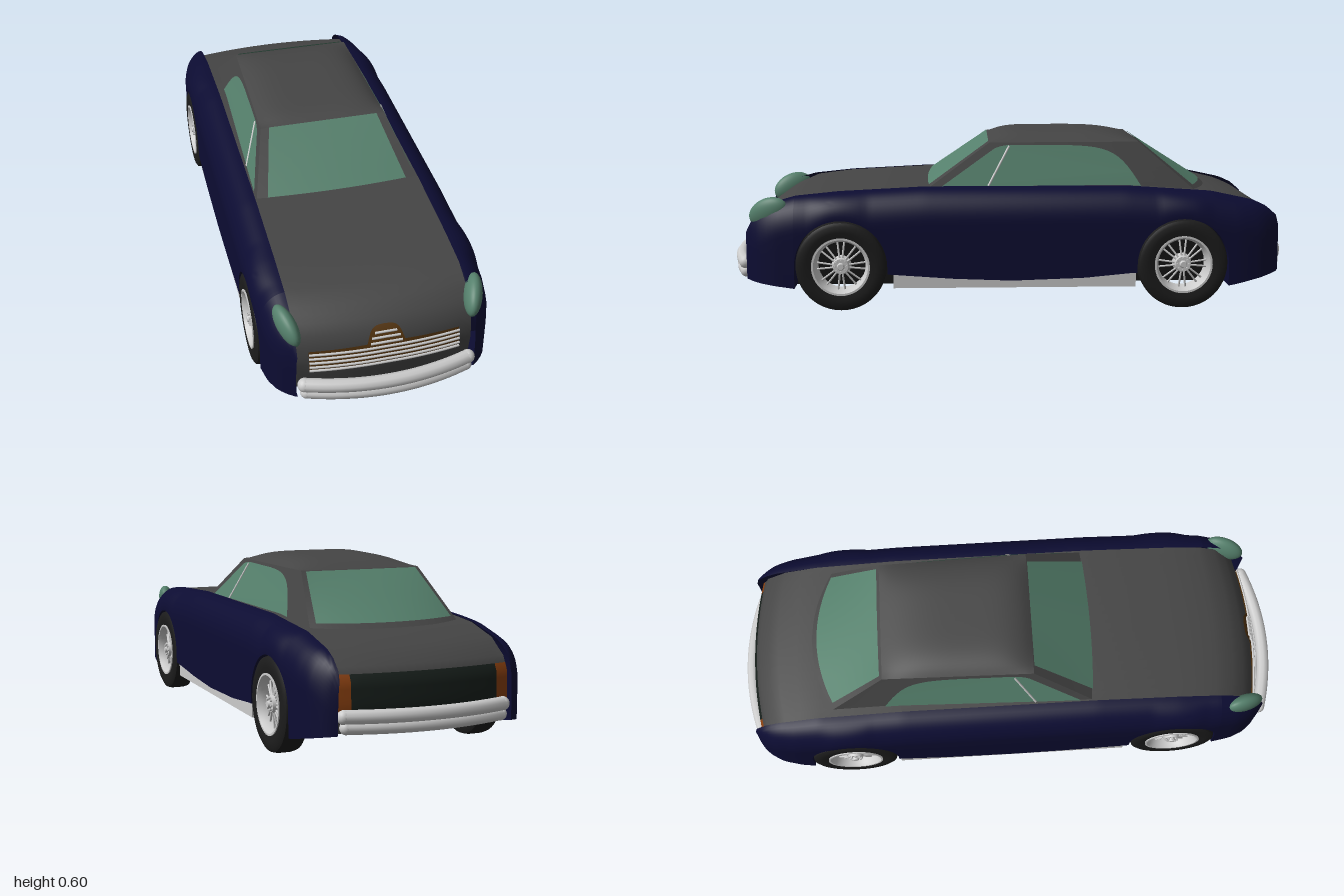
import * as THREE from 'three';
import { toCreasedNormals } from 'three/addons/utils/BufferGeometryUtils.js';
import { ParametricGeometry } from 'three/addons/geometries/ParametricGeometry.js';

const mat = (color) => new THREE.MeshStandardMaterial({ color, side: THREE.DoubleSide });
const M = {
  body: mat(0x454545), fender: mat(0x0c0c32), glass: mat(0x55806c), chrome: mat(0xcccccc),
  tyre: mat(0x1c1c1c), under: mat(0x151515), grille: mat(0x553510), lamp: mat(0x8a4010), panel: mat(0x18201c),
};
const lerp = THREE.MathUtils.lerp;

// piecewise linear lookup in rows [key, value] with rising keys
function lut(rows, k) {
  let i = 1;
  while (i < rows.length - 1 && rows[i][0] < k) i++;
  const [a, b] = [rows[i - 1], rows[i]];
  return lerp(a[1], b[1], THREE.MathUtils.clamp((k - a[0]) / (b[0] - a[0]), 0, 1));
}
function mesh(parent, name, geometry, material) {
  const m = new THREE.Mesh(geometry, material);
  m.name = name;
  parent.add(m);
  return m;
}
// surface from fn(u, v) -> [x, y, z]
function patch(parent, name, material, nu, nv, fn) {
  const g = new ParametricGeometry((u, v, p) => p.set(...fn(u, v)), nu, nv);
  g.computeVertexNormals();
  return mesh(parent, name, g, material);
}
function tube(parent, name, material, pts, r) {
  const curve = new THREE.CatmullRomCurve3(pts.map((p) => new THREE.Vector3(...p)));
  return mesh(parent, name, new THREE.TubeGeometry(curve, 24, r, 10), material);
}

// nose and tail lines as [y, z], top line as [z, y]
const NOSE = [[0.09, 0.9], [0.2, 0.918], [0.26, 0.91], [0.3, 0.892], [0.33, 0.865]];
const TAIL = [[0.12, -0.94], [0.2, -0.952], [0.28, -0.947], [0.32, -0.925]];
const TOP = [[-0.85, 0.368], [-0.7, 0.4], [-0.4, 0.42], [0.3, 0.42], [0.6, 0.405], [0.75, 0.388], [0.82, 0.362]];
const bow = (x, z) => -Math.sign(z) * 0.03 * (x / 0.295) ** 2 * THREE.MathUtils.smoothstep(Math.abs(z), 0.6, 0.9);
const noseZ = (x, y) => { const z = lut(NOSE, y); return z + bow(x, z); };
const tailZ = (x, y) => { const z = lut(TAIL, y); return z + bow(x, z); };

function addCentreBody(car) {
  const line = [...NOSE.map(([y, z]) => [z, y]), ...[...TOP].reverse(), ...[...TAIL].reverse().map(([y, z]) => [z, y])];
  const n = line.length - 1;
  patch(car, 'bonnetAndBoot', M.body, 16, n * 2, (u, v) => {
    const i = Math.min(Math.floor(v * n + 1e-6), n - 1), f = v * n - i;
    const x = lerp(-0.295, 0.295, u), z = lerp(line[i][0], line[i + 1][0], f);
    return [x, lerp(line[i][1], line[i + 1][1], f), z + bow(x, z)];
  });
  const side = [[0.87, 0.1], [0.74, 0.075], [-0.74, 0.08], [-0.9, 0.125], [-0.9, 0.3], [-0.6, 0.38], [0.6, 0.38], [0.84, 0.3]];
  const g = new THREE.ExtrudeGeometry(new THREE.Shape(side.map(([z, y]) => new THREE.Vector2(-z, y))), { depth: 0.58, bevelEnabled: false });
  g.rotateY(Math.PI / 2).translate(-0.29, 0, 0);
  mesh(car, 'underbody', g, M.under);
  mesh(car, 'floor', new THREE.BoxGeometry(0.72, 0.12, 0.83), M.under).position.set(0, 0.142, -0.005);
}

const AXLES = [0.59, -0.595], WHEEL_Y = 0.157, ARCH = 0.16;
const FENDER_TOP = [[-0.945, 0.28], [-0.935, 0.315], [-0.9, 0.347], [-0.85, 0.37], [-0.7, 0.402], [-0.4, 0.422], [0.3, 0.422], [0.6, 0.407], [0.75, 0.392], [0.82, 0.372], [0.87, 0.342], [0.91, 0.3], [0.925, 0.265]];
const FENDER_OUT = [[-0.945, 0.298], [-0.935, 0.32], [-0.91, 0.342], [-0.87, 0.364], [-0.8, 0.379], [-0.65, 0.388], [0.65, 0.388], [0.75, 0.38], [0.82, 0.37], [0.87, 0.351], [0.9, 0.328], [0.925, 0.298]];
const FENDER_LOW = [[-0.945, 0.12], [-0.76, 0.08], [-0.755, 0.08], [-0.43, 0.13], [-0.25, 0.113], [0, 0.105], [0.2, 0.113], [0.43, 0.13], [0.75, 0.08], [0.925, 0.1]];

function fenderLow(z) {
  for (const a of AXLES) {
    const d = Math.abs(z - a);
    if (d <= ARCH) return WHEEL_Y + Math.sqrt(ARCH * ARCH - d * d);
  }
  return lut(FENDER_LOW, z);
}
// wing running the full length, with both wheel arches cut in
function addFender(car, s) {
  let zs = [-0.945, 0.925];
  for (let z = -0.935; z < 0.92; z += 0.02) if (AXLES.every((a) => Math.abs(z - a) > ARCH + 0.002)) zs.push(z);
  for (const a of AXLES) {
    for (let i = 0; i <= 28; i++) zs.push(a + (ARCH - 1e-6) * Math.cos((i / 28) * Math.PI));
    zs.push(a - ARCH - 0.0006, a + ARCH + 0.0006);
  }
  zs.sort((a, b) => a - b);
  const arc = 12, cols = arc + 6, pos = [], idx = [];
  zs.forEach((z, r) => {
    const top = lut(FENDER_TOP, z), out = lut(FENDER_OUT, z), low = fenderLow(z);
    const shoulder = Math.max(top - 0.12, low + 0.004);
    for (let i = 0; i <= arc; i++) {
      const a = (i / arc) * Math.PI / 2;
      pos.push(s * lerp(0.293, out, Math.sin(a)), lerp(shoulder, top, Math.cos(a)), z);
    }
    for (let i = 1; i <= 4; i++) pos.push(s * out, lerp(shoulder, low, i / 4), z);
    pos.push(s * 0.293, low, z);
    if (r) for (let i = 0; i < cols - 1; i++) {
      const a = (r - 1) * cols + i, b = a + cols;
      if (s > 0) idx.push(a, b, a + 1, b, b + 1, a + 1);
      else idx.push(a, a + 1, b, b, a + 1, b + 1);
    }
  });
  const g = new THREE.BufferGeometry();
  g.setAttribute('position', new THREE.Float32BufferAttribute(pos, 3));
  g.setIndex(idx);
  mesh(car, 'fender', toCreasedNormals(g, 0.7), M.fender);
  // sill strip and headlamp
  mesh(car, 'sill', new THREE.BoxGeometry(0.03, 0.06, 0.84), M.chrome).position.set(s * 0.367, 0.11, -0.01);
  const lamp = mesh(car, 'headlamp', new THREE.SphereGeometry(1, 28, 20), M.glass);
  lamp.scale.set(0.03, 0.05, 0.076);
  lamp.position.set(s * 0.309, 0.336, 0.843);
  lamp.rotation.set(0.45, -s * 0.3, 0);
}

// cabin: t runs from the waist (0) to the roof edge (1)
const sideX = (z, t) => { const k = (0.3 - z) / 0.95; return lerp(0.295 - 0.03 * k, 0.232 - 0.02 * k, t); };
const cabinY = (t) => 0.4 + 0.167 * t;
const frontZ = (t) => lerp(0.31, 0.075, t), rearZ = (t) => lerp(-0.65, -0.455, t);
const front = (u, t) => [u * sideX(frontZ(t), t), cabinY(t), frontZ(t) + 0.015 * (1 - u * u) * (1 - t)];
const rear = (u, t) => [u * sideX(rearZ(t), t), cabinY(t), rearZ(t) - 0.07 * (1 - u * u) * (1 - t)];

function addCabin(car) {
  patch(car, 'windscreenFrame', M.body, 16, 6, (u, t) => front(2 * u - 1, t));
  patch(car, 'rearWindowFrame', M.body, 16, 6, (u, t) => rear(2 * u - 1, t));
  patch(car, 'roof', M.body, 32, 32, (a, b) => {
    const u = 2 * a - 1, v = 2 * b - 1, z = lerp(0.075, -0.455, b);
    return [u * sideX(z, 1), 0.567 + 0.033 * (1 - Math.abs(u) ** 5) * (1 - Math.abs(v) ** (v < 0 ? 6 : 3)), z];
  });
  patch(car, 'windscreen', M.glass, 16, 6, (u, t) => {
    const [x, y, z] = front((2 * u - 1) * 0.87, lerp(0.12, 1, t));
    return [x, y + 0.003, z + 0.003];
  });
  patch(car, 'rearWindow', M.glass, 16, 6, (u, t) => {
    const [x, y, z] = rear((2 * u - 1) * 0.93, lerp(0.08, 0.97, t));
    return [x, y + 0.003, z - 0.003];
  });
  for (const s of [1, -1]) {
    const onSide = (z, y) => [s * (sideX(z, (y - 0.4) / 0.167) + 0.003), y, z];
    patch(car, 'cabinSide', M.body, 10, 6, (u, t) => {
      const z = lerp(frontZ(t), rearZ(t), u);
      return [s * sideX(z, t), cabinY(t), z];
    });
    const w = new THREE.Shape();
    w.moveTo(0.25, 0.415).lineTo(0.06, 0.545);
    w.quadraticCurveTo(0.04, 0.557, 0, 0.559);
    w.lineTo(-0.2, 0.557);
    w.bezierCurveTo(-0.36, 0.553, -0.39, 0.53, -0.46, 0.415);
    const g = new THREE.ShapeGeometry(w, 12), p = g.attributes.position;
    for (let i = 0; i < p.count; i++) p.setXYZ(i, ...onSide(p.getX(i), p.getY(i)));
    g.computeVertexNormals();
    mesh(car, 'sideWindow', g, M.glass);
    tube(car, 'ventBar', M.chrome, [onSide(0.08, 0.42), onSide(0.005, 0.555)], 0.004);
  }
}

// grille, bumpers and tail lamps
function addTrim(car) {
  patch(car, 'grille', M.grille, 80, 10, (u, v) => {
    const x = lerp(-0.25, 0.25, u);
    const h = 0.265 - 0.04 * Math.abs(x) + 0.05 * Math.sqrt(Math.max(0, 1 - (x / 0.058) ** 4));
    const y = lerp(0.178, h, v);
    return [x, y, noseZ(x, y) + 0.005];
  });
  for (let i = 0; i < 8; i++) {
    const y = 0.187 + i * 0.0158, half = i < 5 ? 0.25 : [0.052, 0.047, 0.036][i - 5], pts = [];
    for (let k = -4; k <= 4; k++) {
      const x = (half * k) / 4;
      pts.push([x, y - 0.02 * Math.abs(x), noseZ(x, y) + 0.01]);
    }
    tube(car, 'grilleBar', M.chrome, pts, 0.0042);
  }
  for (const [dir, dy] of [[1, 0], [-1, 0.019]]) {
    for (const [y, r, half] of [[0.154, 0.023, 0.273], [0.121, 0.021, 0.266]]) {
      const pts = [];
      for (let k = -6; k <= 6; k++) pts.push([(half * k) / 6, y + dy, dir * (0.977 - 0.045 * (k / 6) ** 2)]);
      tube(car, 'bumper', M.chrome, pts, r);
      for (const s of [1, -1]) mesh(car, 'bumperEnd', new THREE.SphereGeometry(r, 16, 12), M.chrome).position.set(s * half, y + dy, dir * 0.932);
    }
  }
  const tail = (name, m, x0, x1) => patch(car, name, m, 16, 6, (u, v) => {
    const x = lerp(x0, x1, u), y = lerp(0.17, 0.3, v);
    return [x, y, tailZ(x, y) - 0.004];
  });
  tail('tailPanel', M.panel, -0.25, 0.25);
  tail('tailLamp', M.lamp, 0.25, 0.293);
  tail('tailLamp', M.lamp, -0.293, -0.25);
}

// wheel with its axis along y, outer face up
function makeWheel() {
  const wheel = new THREE.Group();
  wheel.name = 'wheel';
  const lathe = (name, pts, m) => mesh(wheel, name, toCreasedNormals(new THREE.LatheGeometry(pts.map((p) => new THREE.Vector2(...p)), 48), 0.6), m);
  lathe('tyre', [[0.098, -0.038], [0.12, -0.042], [0.142, -0.042], [0.153, -0.036], [0.157, -0.02], [0.157, 0.02], [0.153, 0.036], [0.142, 0.042], [0.12, 0.042], [0.098, 0.038]], M.tyre);
  lathe('rim', [[0.1, 0.036], [0.101, 0.043], [0.094, 0.043], [0.087, 0.03], [0.083, 0.01], [0.083, -0.025], [0.1, -0.04]], M.chrome);
  mesh(wheel, 'hub', new THREE.CylinderGeometry(0.026, 0.034, 0.035, 24), M.chrome).position.y = 0.015;
  mesh(wheel, 'hubCap', new THREE.CylinderGeometry(0.01, 0.014, 0.012, 16), M.chrome).position.y = 0.037;
  for (let i = 0; i < 8; i++) {
    const spin = new THREE.Group();
    spin.name = 'spokePair';
    spin.rotation.y = (i / 8) * Math.PI * 2;
    for (const s of [1, -1]) tube(spin, 'spoke', M.chrome, [[0.028, 0.02, s * 0.005], [0.086, 0.012, s * 0.012]], 0.0035);
    mesh(spin, 'nut', new THREE.CylinderGeometry(0.004, 0.004, 0.008, 6), M.chrome).position.set(0.02, 0.035, 0);
    wheel.add(spin);
  }
  return wheel;
}

export function createModel() {
  const car = new THREE.Group();
  car.name = 'car';
  addCentreBody(car);
  addCabin(car);
  addTrim(car);
  for (const s of [1, -1]) {
    addFender(car, s);
    for (const z of AXLES) {
      const wheel = makeWheel();
      wheel.position.set(s * 0.348, WHEEL_Y, z);
      wheel.rotation.z = -s * Math.PI / 2;
      car.add(wheel);
    }
  }
  return car;
}
